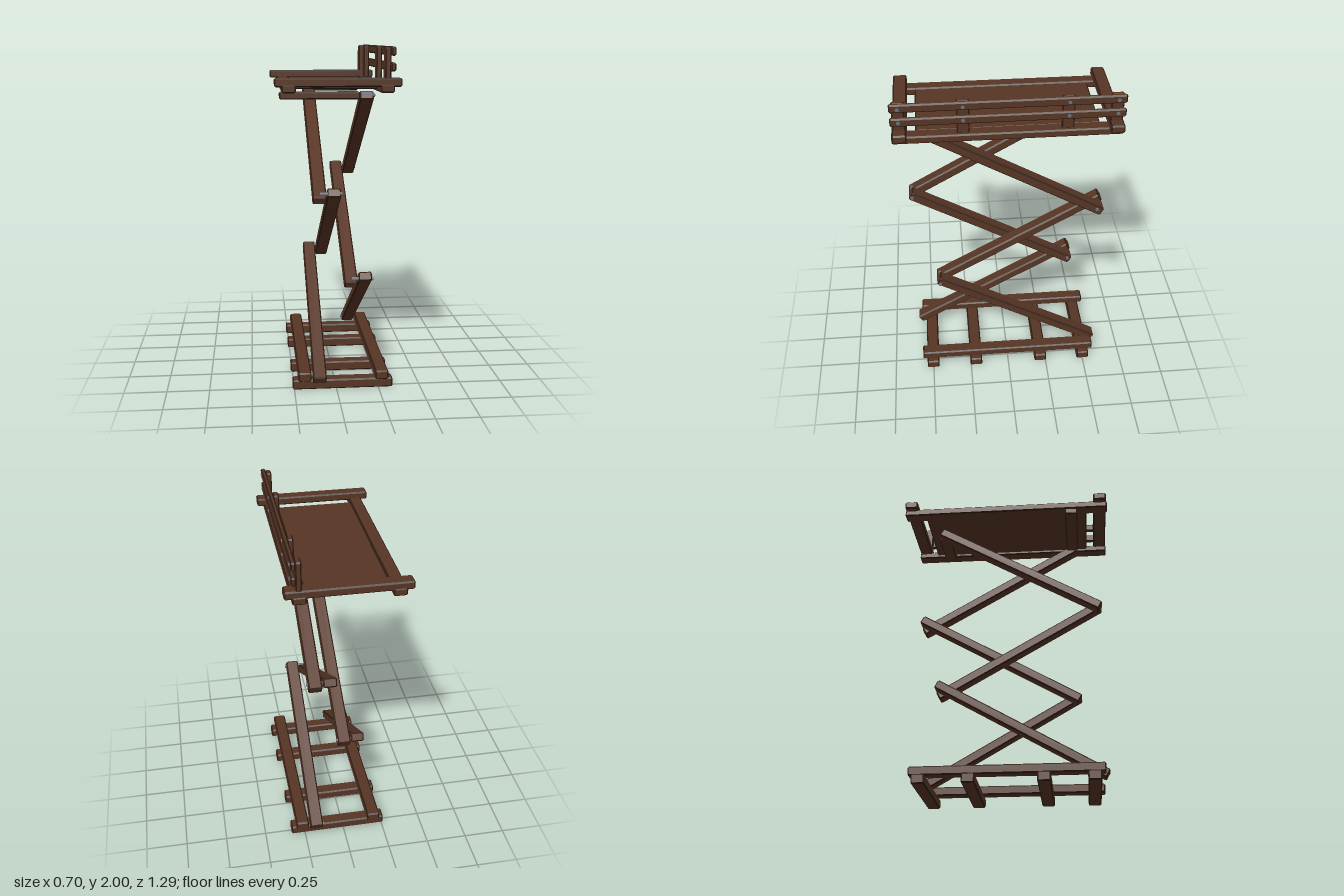
import * as THREE from 'three';

const wood = new THREE.MeshStandardMaterial({ color: 0x573524 });
wood.name = 'brown wood';
const edge = new THREE.MeshStandardMaterial({ color: 0x2f1c12 });
edge.name = 'dark worn edge';
const steel = new THREE.MeshStandardMaterial({ color: 0x6c7080 });
steel.name = 'bolt steel';

// Box with chamfered, darker edges: the outer ring of each 3x3 face grid forms the chamfer
function beamGeometry(w, h, d, c = 0.008) {
  let g = new THREE.BoxGeometry(w, h, d, 3, 3, 3);
  const p = g.attributes.position;
  const half = [w / 2, h / 2, d / 2];
  for (let i = 0; i < p.count; i++) {
    const v = [p.getX(i), p.getY(i), p.getZ(i)];
    const outer = v.map((a, k) => Math.abs(a) > half[k] * 0.99);
    const n = outer.filter(Boolean).length;
    const inset = n === 1 ? 0 : n === 2 ? c / 2 : c * 0.6;
    const q = v.map((a, k) => Math.sign(a) * (half[k] - (outer[k] ? inset : c)));
    p.setXYZ(i, q[0], q[1], q[2]);
  }
  g = g.toNonIndexed();
  g.computeVertexNormals();
  g.clearGroups();
  for (let f = 0; f < 6; f++) {
    const s = f * 54;
    g.addGroup(s, 24, 1);
    g.addGroup(s + 24, 6, 0);
    g.addGroup(s + 30, 24, 1);
  }
  return g;
}

export function createModel() {
  const model = new THREE.Group();
  model.name = 'scissorLift';

  // Beam given by its min and max along each axis
  function beam(name, x0, x1, y0, y1, z0, z1) {
    const m = new THREE.Mesh(beamGeometry(x1 - x0, y1 - y0, z1 - z0), [wood, edge]);
    m.position.set((x0 + x1) / 2, (y0 + y1) / 2, (z0 + z1) / 2);
    m.name = name;
    model.add(m);
    return m;
  }

  // Bolt running along x
  function bolt(x0, x1, y, z) {
    const m = new THREE.Mesh(new THREE.CylinderGeometry(0.011, 0.011, x1 - x0, 8), steel);
    m.rotation.z = Math.PI / 2;
    m.position.set((x0 + x1) / 2, y, z);
    m.name = 'bolt';
    model.add(m);
  }

  // Base: four sleepers and two rails
  for (const z of [0.5, 0.215, -0.215, -0.5])
    beam('baseSleeper', -0.26, 0.335, 0, 0.058, z - 0.039, z + 0.039);
  beam('baseRail', -0.228, -0.15, 0.058, 0.112, -0.565, 0.565);
  beam('baseRail', 0.228, 0.306, 0.058, 0.112, -0.565, 0.565);

  // Scissor arms: [x, y, z, tilt], tilt +1 means the front end is low
  const arms = [
    [-0.102, 0.36, 0.072, 1], [0.18, 0.366, -0.072, -1],
    [-0.02, 0.897, 0.072, -1], [0.095, 0.897, -0.072, 1],
    [-0.102, 1.435, 0.072, 1], [0.18, 1.435, -0.072, -1],
  ];
  for (const [x, y, z, tilt] of arms) {
    const a = beam('scissorArm', x - 0.04, x + 0.04, y - 0.028, y + 0.028, z - 0.585, z + 0.585);
    a.rotation.x = tilt * Math.PI / 6;
  }

  // Pivot bolts
  bolt(-0.1, 0.028, 0.63, -0.415);
  bolt(0.1, 0.228, 0.64, 0.425);
  bolt(-0.1, 0.028, 1.18, 0.57);
  bolt(0.1, 0.228, 1.17, -0.545);
  bolt(0.15, 0.228, 1.725, 0.425);
  bolt(0.132, 0.2, 0.085, -0.56);

  // Cross bars joining the top arms to the platform
  beam('topCrossBar', -0.32, 0.14, 1.703, 1.745, 0.378, 0.456);
  beam('topCrossBar', -0.065, 0.225, 1.703, 1.745, -0.456, -0.378);

  // Platform frame and deck
  beam('platformSideRail', -0.312, -0.234, 1.75, 1.796, -0.645, 0.645);
  beam('platformSideRail', 0.23, 0.308, 1.75, 1.796, -0.645, 0.645);
  for (const z of [-0.6, 0.6])
    beam('platformEndPlank', -0.352, 0.35, 1.782, 1.83, z - 0.04, z + 0.04);
  beam('deckPanel', -0.236, 0.232, 1.765, 1.79, -0.52, 0.515);

  // Guard rail on one side
  for (const z of [0.6, 0.25, -0.33, -0.6]) {
    const y0 = Math.abs(z) > 0.5 ? 1.82 : 1.79;
    beam('guardPost', 0.254, 0.288, y0, 1.995, z - 0.036, z + 0.036);
    bolt(0.29, 0.317, 1.972, z);
    bolt(0.29, 0.317, 1.89, z);
  }
  beam('guardRail', 0.286, 0.313, 1.95, 2.0, -0.647, 0.647);
  beam('guardRail', 0.286, 0.313, 1.865, 1.914, -0.647, 0.647);

  return model;
}
